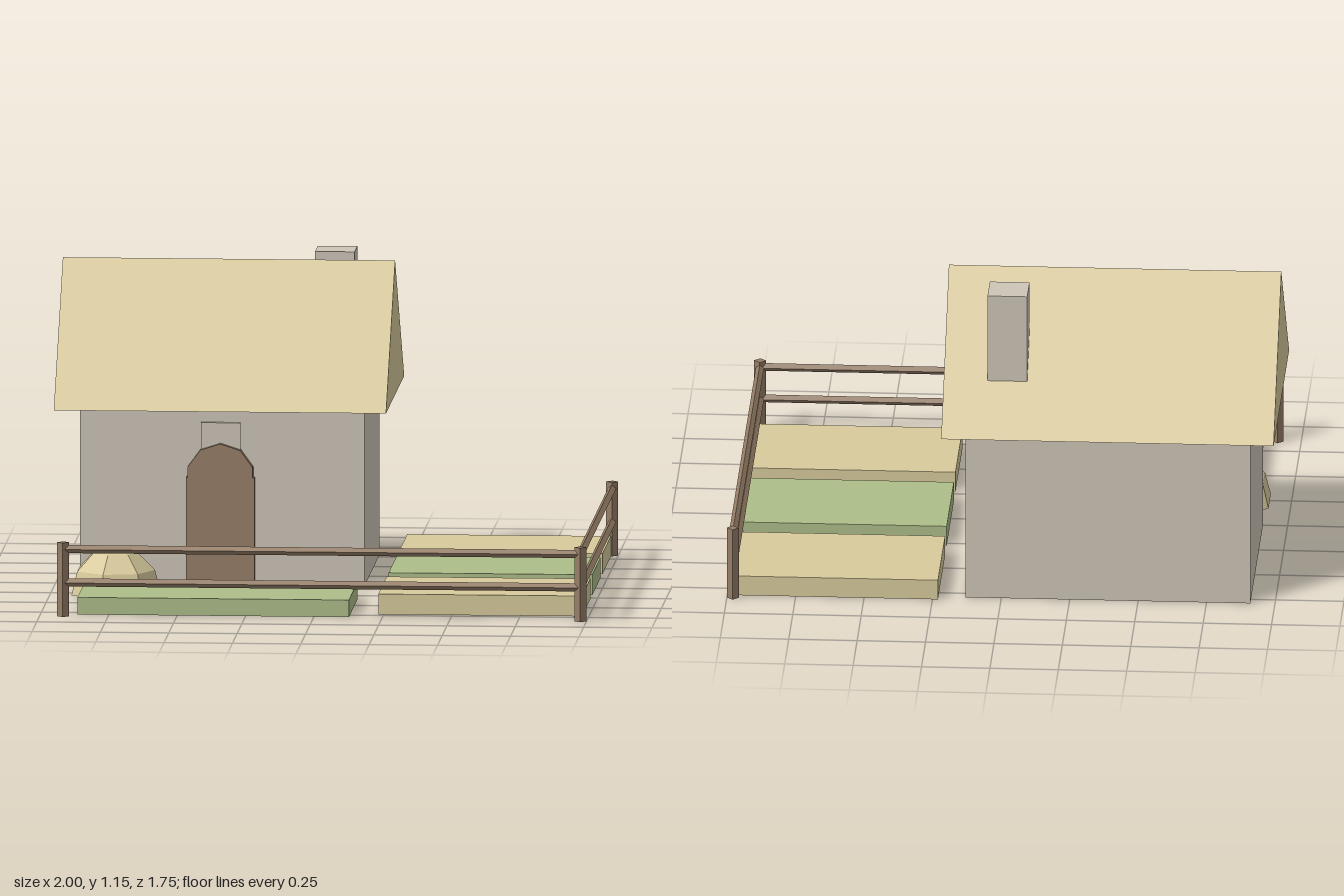
import * as THREE from 'three';

const mat = (name, color) => {
  const m = new THREE.MeshStandardMaterial({ color, flatShading: true });
  m.name = name;
  return m;
};

export function createModel() {
  const group = new THREE.Group();
  const straw = mat('straw', 0xd8ca9c);
  const stone = mat('stone', 0xcdc5b7);
  const wood = mat('wood', 0x967e67);
  const leaf = mat('leaf green', 0xadbd89);

  const add = (name, geometry, material) => {
    const mesh = new THREE.Mesh(geometry, material);
    mesh.name = name;
    group.add(mesh);
    return mesh;
  };
  // Box given by its limits on each axis
  const box = (name, material, [x0, x1], [y0, y1], [z0, z1]) =>
    add(name, new THREE.BoxGeometry(x1 - x0, y1 - y0, z1 - z0), material)
      .position.set((x0 + x1) / 2, (y0 + y1) / 2, (z0 + z1) / 2);

  // House body and chimney
  box('walls', stone, [-0.91, 0.13], [0, 0.65], [-0.79, 0.01]);
  box('chimney', stone, [-0.09, 0.055], [0.75, 1.15], [-0.71, -0.565]);

  // Gable roof, extruded along x
  const gable = new THREE.Shape([
    new THREE.Vector2(-0.095, 0.65),
    new THREE.Vector2(0.875, 0.65),
    new THREE.Vector2(0.39, 1.145),
  ]);
  const roof = new THREE.ExtrudeGeometry(gable, { depth: 1.215, bevelEnabled: false });
  roof.rotateY(Math.PI / 2).translate(-1, 0, 0);
  add('roof', roof, straw);

  // Door with a faceted arch, and the stone above it
  box('door', wood, [-0.52, -0.27], [0, 0.4], [0, 0.043]);
  const arch = [];
  for (const a of [0, 18, 54, 90, 126, 162, 180]) {
    const t = THREE.MathUtils.degToRad(a);
    const r = a % 180 === 0 ? 0.119 : 0.125;
    arch.push(new THREE.Vector2(r * Math.cos(t), r * Math.sin(t)));
  }
  const archGeometry = new THREE.ExtrudeGeometry(new THREE.Shape(arch), { depth: 0.047, bevelEnabled: false });
  add('doorArch', archGeometry, wood).position.set(-0.395, 0.4, 0);
  box('keystone', stone, [-0.467, -0.322], [0.45, 0.6], [0, 0.025]);

  // Haystack: seven-sided dome with a closed base
  const dome = [new THREE.Vector2(0, 0)];
  for (let i = 0; i <= 3; i++) {
    const t = (i / 3) * Math.PI / 2;
    dome.push(new THREE.Vector2(i === 3 ? 0 : 0.17 * Math.cos(t), 0.174 * Math.sin(t)));
  }
  const hay = new THREE.LatheGeometry(dome, 7).rotateY(Math.PI / 2);
  add('haystack', hay, straw).position.set(-0.767, 0, 0.243);

  // Garden beds
  box('frontBed', leaf, [-0.865, 0.128], [0, 0.063], [0.352, 0.8]);
  [[0.275, straw], [-0.272, leaf], [-0.817, straw]].forEach(([z, material], i) =>
    box(`sideBed${i + 1}`, material, [0.23, 0.975], [0, 0.075], [z, z + 0.447]));

  // Fence: diamond-section posts joined by two rails per side
  const posts = [[-0.914, 0.85], [0.978, 0.85], [0.978, -0.842]];
  posts.forEach(([x, z], i) =>
    add(`fencePost${i + 1}`, new THREE.CylinderGeometry(0.022, 0.022, 0.273, 4), wood)
      .position.set(x, 0.1365, z));
  for (const y of [0.125, 0.248]) {
    for (let i = 0; i < 2; i++) {
      const a = new THREE.Vector3(posts[i][0], y, posts[i][1]);
      const b = new THREE.Vector3(posts[i + 1][0], y, posts[i + 1][1]);
      const rail = add('fenceRail', new THREE.CylinderGeometry(0.015, 0.015, a.distanceTo(b), 4), wood);
      rail.position.copy(a).add(b).multiplyScalar(0.5);
      if (i === 0) rail.rotation.z = Math.PI / 2;
      else rail.rotation.x = Math.PI / 2;
    }
  }

  return group;
}
